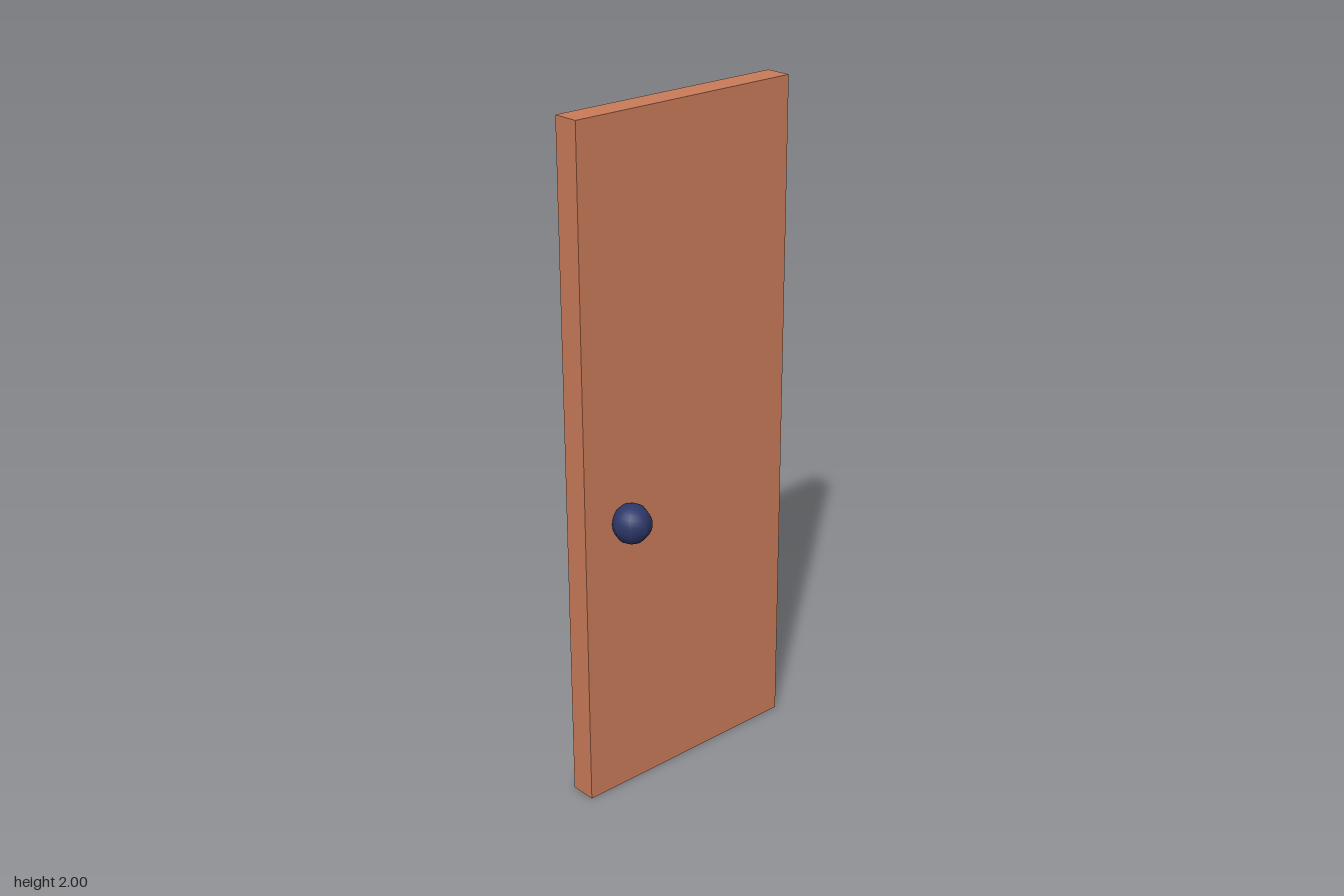
import * as THREE from 'three';

function part(name, geometry, color, x, y, z) {
  const mesh = new THREE.Mesh(geometry, new THREE.MeshStandardMaterial({ color }));
  mesh.name = name;
  mesh.position.set(x, y, z);
  return mesh;
}

export function createModel() {
  const door = new THREE.Group();
  door.name = 'door';

  // Plain slab
  door.add(part('doorPanel', new THREE.BoxGeometry(0.746, 2, 0.079), 0xc97b59, 0, 1, -0.0435));

  // Eight-sided round knob, partly sunk into the slab
  door.add(part('doorKnob', new THREE.SphereGeometry(0.058, 8, 16), 0x2d3768, -0.232, 0.853, 0.025));

  return door;
}
